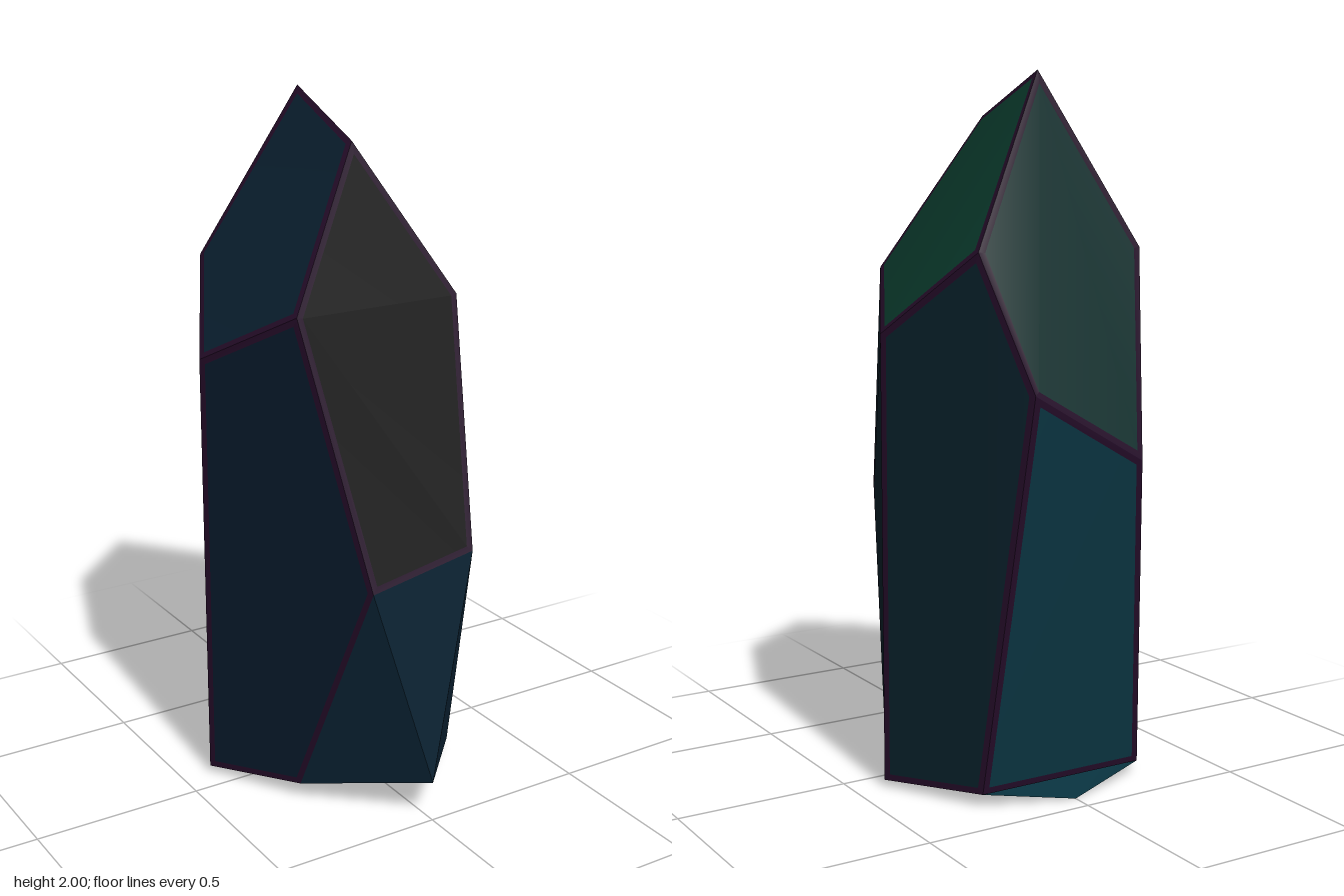
import * as THREE from 'three';

// Corner points shared by the facets; R = +x side, L = -x side
const P = {
  peak: [0, 2, -0.23], ridge: [0, 1.88, 0.06], toe: [0, 0.12, 0.5], heel: [0, 0, -0.44],
  backTopR: [0.17, 1.15, -0.49], backTopL: [-0.17, 0.95, -0.5],
  frontLowR: [0.17, 0.77, 0.43], frontLowL: [-0.16, 0.71, 0.43],
};
for (const [s, x] of [['R', 1], ['L', -1]]) {
  P['shoulderBack' + s] = [0.26 * x, 1.52, -0.35];
  P['shoulder' + s] = [0.41 * x, 1.29, -0.08];
  P['shoulderFront' + s] = [0.26 * x, 1.45, 0.2];
  P['baseFront' + s] = [0.26 * x, 0.05, 0.2];
  P['base' + s] = [0.41 * x, 0.02, -0.08];
  P['baseBack' + s] = [0.26 * x, 0.04, -0.37];
}

const CENTRE = new THREE.Vector3(0, 0.9, 0);
const RIM = 0.018;

function indexed(points, index) {
  const g = new THREE.BufferGeometry().setFromPoints(points);
  g.setIndex(index);
  g.computeVertexNormals();
  return g;
}

// Corners of a facet, turned so that it faces away from the centre
function outward(names) {
  const pts = names.map((n) => new THREE.Vector3(...P[n]));
  const normal = new THREE.Vector3();
  pts.forEach((p, i) => normal.add(p.clone().cross(pts[(i + 1) % pts.length])));
  const mid = pts.reduce((m, p) => m.add(p), new THREE.Vector3()).divideScalar(pts.length);
  if (normal.dot(mid.sub(CENTRE)) < 0) pts.reverse();
  return pts;
}

// Move every corner inward by an even width
function inset(pts, w) {
  const n = pts.length;
  return pts.map((p, i) => {
    const u = pts[(i + 1) % n].clone().sub(p).normalize();
    const v = pts[(i + n - 1) % n].clone().sub(p).normalize();
    return p.clone().addScaledVector(u.clone().add(v), w / u.clone().cross(v).length());
  });
}

export function createModel() {
  const crystal = new THREE.Group();
  crystal.name = 'crystal';
  const rimPoints = [], rimIndex = [];

  function facet(name, color, names, rim = RIM) {
    const outer = outward(names), n = outer.length;
    const inner = rim ? inset(outer, rim) : outer;
    const index = [];
    for (let i = 1; i < n - 1; i++) index.push(0, i, i + 1);
    const mesh = new THREE.Mesh(indexed(inner, index), new THREE.MeshStandardMaterial({ color }));
    mesh.name = name;
    crystal.add(mesh);
    // Tinted strips between the facet and its edges
    for (let i = 0; rim && i < n; i++) {
      const j = (i + 1) % n, k = rimPoints.length;
      rimPoints.push(outer[i], outer[j], inner[j], inner[i]);
      rimIndex.push(k, k + 1, k + 2, k, k + 2, k + 3);
    }
  }

  // Mirrored roof and side facets
  for (const [s, label, roof, side] of [['R', 'left', 0x0a3a2c, 0x08202a], ['L', 'right', 0x0a2030, 0x081a2c]]) {
    facet(label + 'Roof', roof, ['peak', 'ridge', 'shoulderFront' + s, 'shoulder' + s, 'shoulderBack' + s]);
    facet(label + 'FrontSide', side, ['shoulder' + s, 'shoulderFront' + s, 'frontLow' + s, 'baseFront' + s, 'base' + s]);
    facet(label + 'BackSide', side, ['shoulderBack' + s, 'shoulder' + s, 'base' + s, 'baseBack' + s, 'backTop' + s]);
    facet(label + 'LowerFront', 0x0a2232, ['toe', 'baseFront' + s, 'frontLow' + s], 0);
  }

  // Front, back and underside
  facet('upperFront', 0x0c0c0c, ['ridge', 'shoulderFrontR', 'frontLowR', 'frontLowL', 'shoulderFrontL']);
  facet('lowerFront', 0x0a2232, ['toe', 'frontLowR', 'frontLowL'], 0);
  facet('backRoof', 0x0a2e2c, ['peak', 'shoulderBackR', 'backTopR', 'backTopL', 'shoulderBackL']);
  facet('back', 0x0a3542, ['backTopR', 'backTopL', 'baseBackL', 'baseBackR']);
  facet('underside', 0x0a3542,
    ['toe', 'baseFrontR', 'baseR', 'baseBackR', 'baseBackL', 'baseL', 'baseFrontL']);

  // Small pointed lip at the back of the base
  facet('lipTop', 0x0a3542, ['baseBackR', 'baseBackL', 'heel'], 0);
  const lip = [P.baseR, P.baseBackR, P.heel, P.baseBackL, P.baseL].map((p) => new THREE.Vector3(...p));
  const lipMesh = new THREE.Mesh(indexed(lip, [0, 1, 2, 0, 2, 4, 2, 3, 4]),
    new THREE.MeshStandardMaterial({ color: 0x0a3542, side: THREE.DoubleSide }));
  lipMesh.name = 'lipUnderside';
  crystal.add(lipMesh);

  const edges = new THREE.Mesh(indexed(rimPoints, rimIndex), new THREE.MeshStandardMaterial({ color: 0x240c28 }));
  edges.name = 'facetEdges';
  crystal.add(edges);
  return crystal;
}
